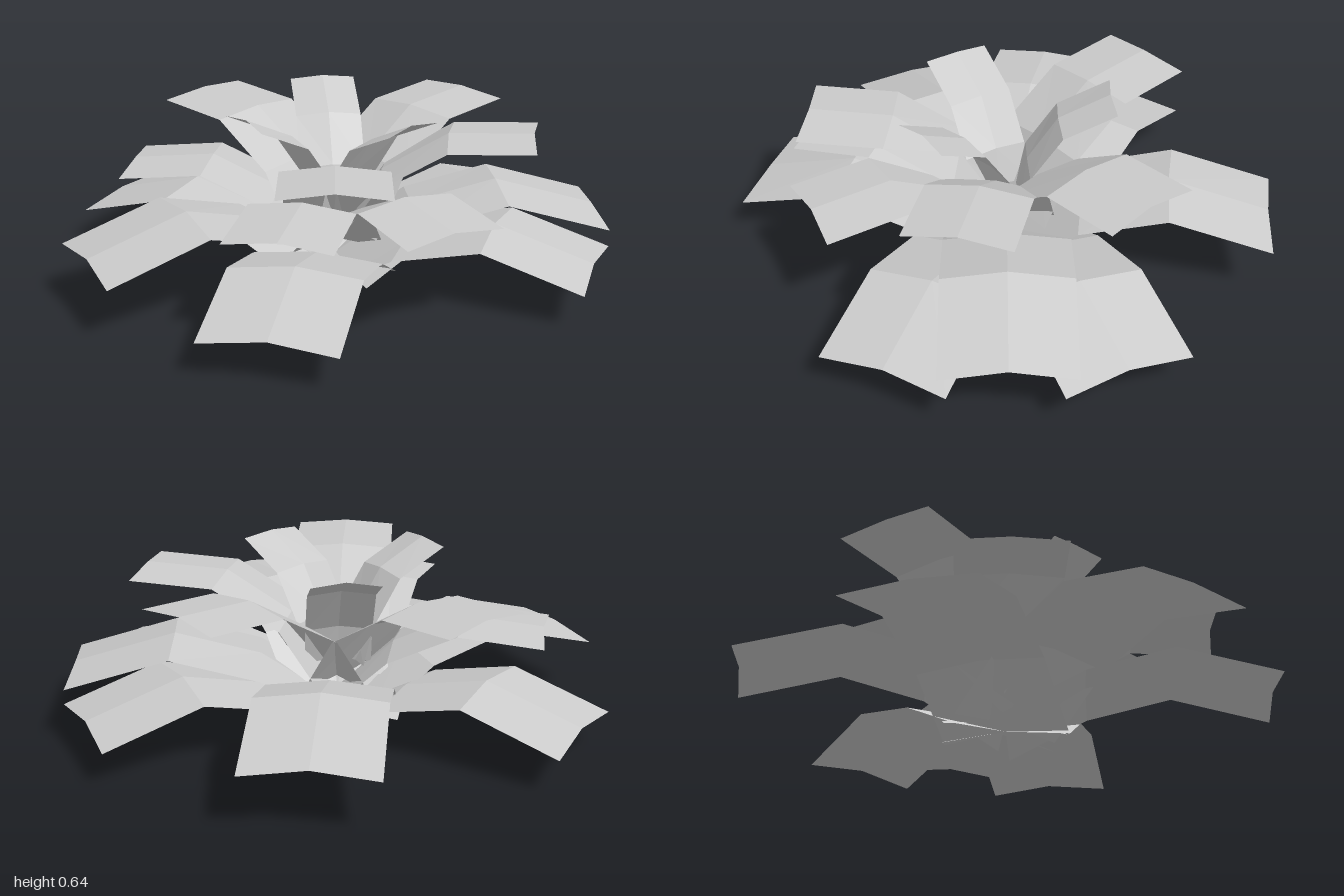
import * as THREE from 'three';

const material = new THREE.MeshStandardMaterial({
  color: 0xcccccc, flatShading: true, side: THREE.DoubleSide,
});

// Each tier: leaf width, midrib profile as [radius, height], leaf directions in degrees from +x towards +z
const tiers = [
  { name: 'outerLeaf', width: 0.47, fold: 0.024,
    profile: [[0, 0.024], [0.295, 0.18], [0.615, 0.258], [0.98, 0.155]], angles: [-49, 0, 82.5, 187] },
  { name: 'lowerLeaf', width: 0.46, fold: 0.024,
    profile: [[0, 0.06], [0.285, 0.25], [0.605, 0.334], [0.98, 0.228]], angles: [-108, -25, 131] },
  { name: 'middleLeaf', width: 0.38, fold: 0.02,
    profile: [[0.01, 0.12], [0.215, 0.31], [0.465, 0.427], [0.768, 0.4]], angles: [39, 84, 167.5] },
  { name: 'upperLeaf', width: 0.38, fold: 0.018,
    profile: [[0.02, 0.17], [0.175, 0.4], [0.42, 0.547], [0.73, 0.56]], angles: [-66, -12, 70, 203.5] },
  { name: 'crownLeaf', width: 0.245, fold: 0.014,
    profile: [[0.04, 0.24], [0.08, 0.38], [0.195, 0.55], [0.386, 0.642]], angles: [25.5, 126, 242] },
];

// A strip of leaf along +x, three points across: raised midrib, lower edges, tip slightly notched
function leafGeometry({ width, fold, profile }) {
  const positions = [];
  const index = [];
  profile.forEach(([r, y], i) => {
    for (const side of [-1, 0, 1]) {
      const notch = side === 0 ? 0.004 * i : 0;
      positions.push(r - notch, y - Math.abs(side) * fold, side * width / 2);
    }
    if (i === 0) return;
    for (let j = 0; j < 2; j++) {
      const a = (i - 1) * 3 + j, b = a + 3;
      index.push(a, a + 1, b, b, a + 1, b + 1);
    }
  });
  const geometry = new THREE.BufferGeometry();
  geometry.setAttribute('position', new THREE.Float32BufferAttribute(positions, 3));
  geometry.setIndex(index);
  const flat = geometry.toNonIndexed();
  flat.computeVertexNormals();
  return flat;
}

export function createModel() {
  const plant = new THREE.Group();
  plant.name = 'leafyPlant';
  for (const tier of tiers) {
    const geometry = leafGeometry(tier);
    for (const angle of tier.angles) {
      const leaf = new THREE.Mesh(geometry, material);
      leaf.name = tier.name;
      leaf.position.x = 0.008;
      leaf.rotation.y = -THREE.MathUtils.degToRad(angle);
      plant.add(leaf);
    }
  }
  return plant;
}
